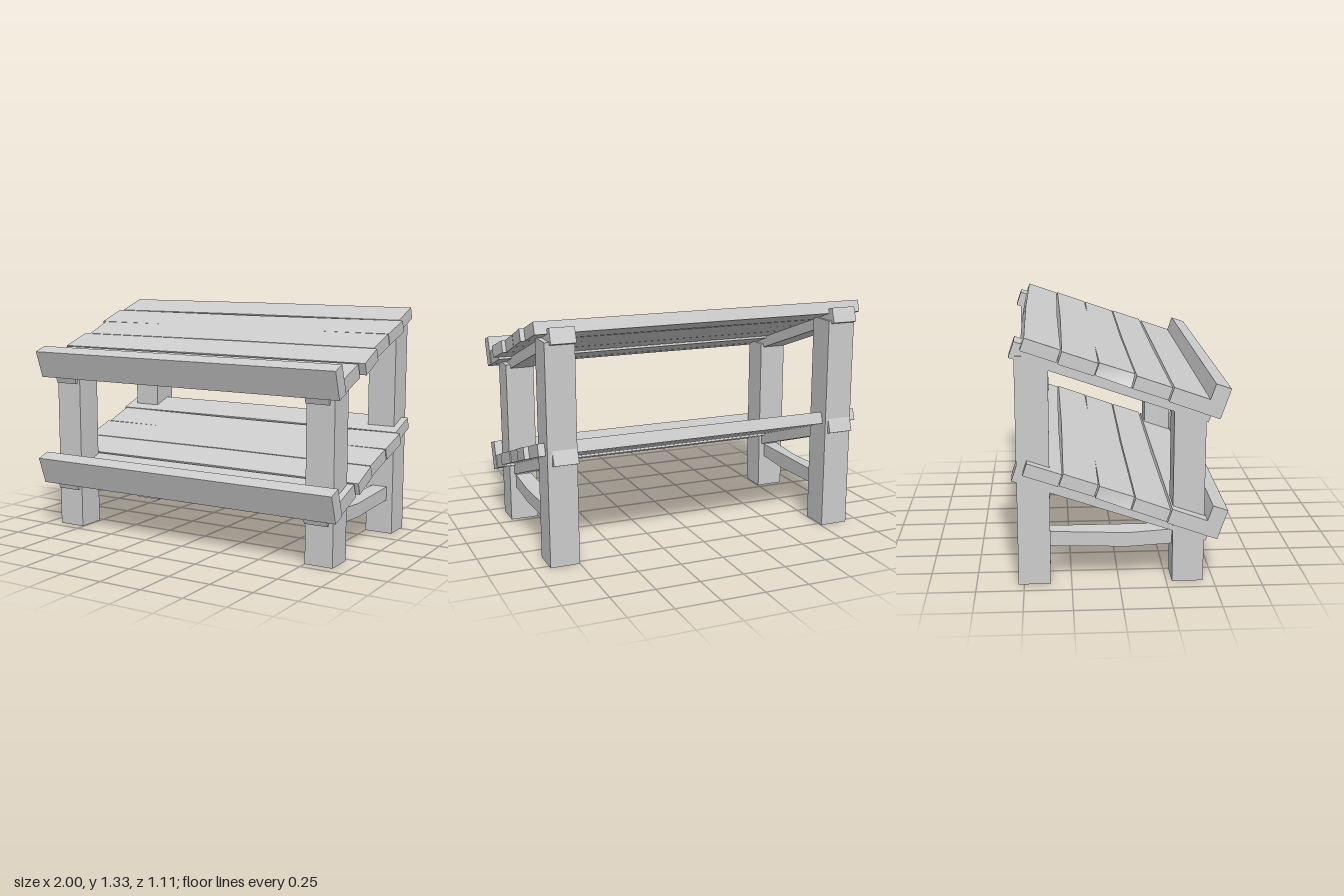
import * as THREE from 'three';

const SLOPE = 0.332; // tilt of the shelves, rising to the back

export function createModel() {
  const wood = new THREE.MeshStandardMaterial({ color: 0xcccccc });
  wood.name = 'pale grey wood';
  const model = new THREE.Group();
  model.name = 'slopedDisplayStand';

  // Box given by its limits
  function beam(parent, name, x0, x1, y0, y1, z0, z1) {
    const mesh = new THREE.Mesh(new THREE.BoxGeometry(x1 - x0, y1 - y0, z1 - z0), wood);
    mesh.position.set((x0 + x1) / 2, (y0 + y1) / 2, (z0 + z1) / 2);
    mesh.name = name;
    parent.add(mesh);
  }

  // Plank with crooked sawn ends [leftBack, leftFront, rightBack, rightFront] and a slight bow
  function plank(parent, name, ends, y0, y1, z0, z1, bow = 0, splay = 0) {
    const geo = new THREE.BoxGeometry(2, 1, 1, 2, 1, 1);
    const p = geo.attributes.position;
    for (let i = 0; i < p.count; i++) {
      const side = Math.round(p.getX(i));
      const front = p.getZ(i) > 0 ? 1 : 0;
      const top = p.getY(i) > 0;
      let x = 0;
      if (side < 0) x = ends[front] + (top && front ? splay : 0);
      if (side > 0) x = ends[2 + front];
      p.setXYZ(i, x, top ? y1 : y0, (front ? z1 : z0) + (side === 0 ? bow : 0));
    }
    geo.computeVertexNormals();
    const mesh = new THREE.Mesh(geo, wood);
    mesh.name = name;
    parent.add(mesh);
  }

  // Sloping shelf: front plank, lip, four slats and two bearers
  function shelf(name, y, slatEnds, frontRight, splay) {
    const g = new THREE.Group();
    g.name = name;
    g.position.y = y;
    g.rotation.x = SLOPE;
    plank(g, 'frontLip', [-0.99, -0.99, frontRight, frontRight], -0.08, 0.085, 0.478, 0.561);
    plank(g, 'frontPlank', [-0.98, -0.99, frontRight - 0.005, frontRight - 0.005], -0.079, 0, 0.286, 0.478);
    slatEnds.forEach((ends, i) => {
      const back = 0.085 - i * 0.196;
      const bow = [-0.006, -0.007, 0.006, -0.007][i];
      plank(g, 'slat' + (i + 1), ends, -0.068, 0, back, back + 0.19, bow, i === 1 ? splay : 0);
    });
    beam(g, 'rightBearer', -0.917, -0.772, -0.13, -0.043, -0.544, 0.526);
    beam(g, 'leftBearer', 0.75, 0.888, -0.13, -0.043, -0.544, 0.526);
    model.add(g);
  }
  shelf('upperShelf', 1.163, [
    [-1, -1, 0.985, 0.997],
    [-0.975, -1, 0.97, 0.965],
    [-1, -1, 0.98, 0.97],
    [-0.973, -0.973, 0.955, 0.955],
  ], 0.968, 0.04);
  shelf('lowerShelf', 0.518, [
    [-0.985, -1, 0.965, 0.972],
    [-0.97, -0.99, 0.968, 0.96],
    [-0.955, -0.955, 0.98, 0.97],
    [-0.973, -0.973, 0.953, 0.953],
  ], 0.957, 0.02);

  // Legs and low braces on both sides
  for (const [side, s] of [['left', 1], ['right', -1]]) {
    const x = s * 0.835 - 0.002;
    beam(model, side + 'FrontLeg', x - 0.082, x + 0.082, 0, 0.95, 0.28, 0.445);
    beam(model, side + 'BackLeg', x - 0.082, x + 0.082, 0, 1.225, -0.53, -0.36);

    // Brace sags a little in the middle
    const geo = new THREE.BoxGeometry(0.09, 0.08, 0.66, 1, 1, 2);
    const p = geo.attributes.position;
    for (let i = 0; i < p.count; i++) {
      if (Math.abs(p.getZ(i)) > 0.01) continue;
      const drop = p.getY(i) < 0 ? 0.014 : p.getX(i) * s > 0 ? 0.016 : 0;
      p.setY(i, p.getY(i) - drop);
      p.setZ(i, 0.09);
    }
    geo.computeVertexNormals();
    const brace = new THREE.Mesh(geo, wood);
    brace.name = side + 'Brace';
    brace.position.set(x, 0.24, -0.04);
    model.add(brace);
  }
  return model;
}
